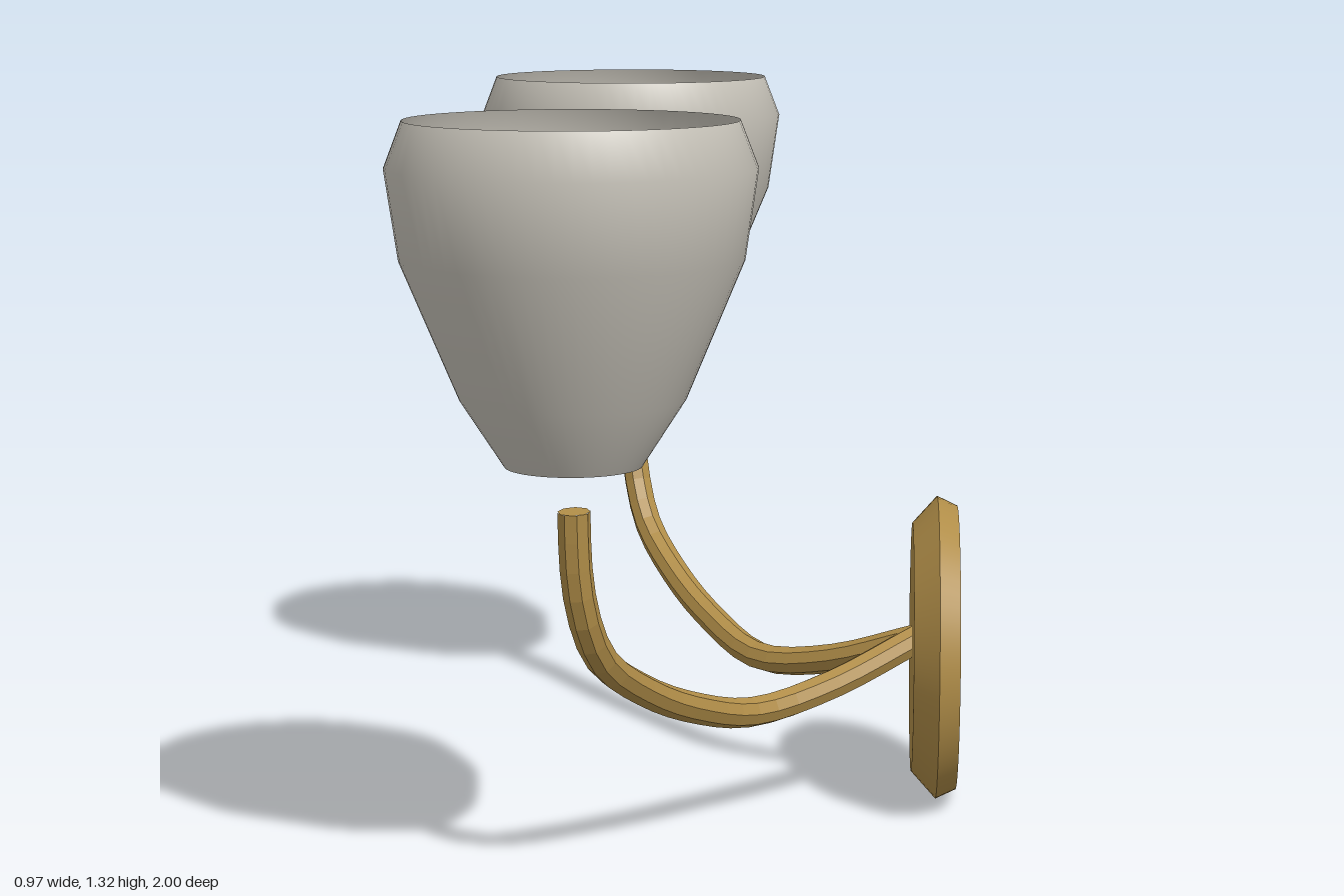
import * as THREE from 'three';

const V = (x, y, z) => new THREE.Vector3(x, y, z);

export function createModel() {
  const group = new THREE.Group();
  const brass = new THREE.MeshStandardMaterial({ color: 0xb08d48, flatShading: true });
  brass.name = 'brass';
  const brassSmooth = new THREE.MeshStandardMaterial({ color: 0xb08d48 });
  brassSmooth.name = 'smooth brass';
  const glass = new THREE.MeshStandardMaterial({ color: 0xc8c4ba, side: THREE.DoubleSide });
  glass.name = 'frosted glass';

  const add = (parent, name, geometry, material) => {
    const mesh = new THREE.Mesh(geometry, material);
    mesh.name = name;
    parent.add(mesh);
    return mesh;
  };

  // Round wall plate: two bevelled discs along x
  const plate = new THREE.Group();
  plate.name = 'wallPlate';
  group.add(plate);
  const disc = (name, x0, x1, r0, r1) => {
    const geometry = new THREE.CylinderGeometry(r1, r0, x1 - x0, 64).rotateZ(-Math.PI / 2);
    add(plate, name, geometry, brassSmooth).position.set((x0 + x1) / 2, 0.29, 0);
  };
  disc('plateFront', 0.4, 0.446, 0.235, 0.286);
  disc('plateRim', 0.446, 0.484, 0.286, 0.268);

  // Open shade profile: radius, height
  const profile = [[0.115, 0.755], [0.188, 0.868], [0.285, 1.1], [0.307, 1.25], [0.277, 1.328]]
    .map(([r, y]) => new THREE.Vector2(r, y));
  const radius = 0.028;

  for (const side of [1, -1]) {
    const label = side > 0 ? 'front' : 'back';

    // Bent arm from the plate up to the shade
    const path = new THREE.CatmullRomCurve3([
      [0.41, 0.305, 0], [0.25, 0.24, 0.105], [0.11, 0.215, 0.215], [0, 0.262, 0.37],
      [-0.08, 0.327, 0.5], [-0.14, 0.405, 0.61], [-0.165, 0.49, 0.662],
      [-0.176, 0.58, 0.682], [-0.178, 0.677, 0.69],
    ].map(([x, y, z]) => V(x, y, z * side)));
    add(group, label + 'Arm', new THREE.TubeGeometry(path, 24, radius, 8), brass);

    // Closed top end of the arm
    const cap = add(group, label + 'ArmCap', new THREE.CircleGeometry(radius, 8), brass);
    cap.position.copy(path.getPoint(1));
    cap.quaternion.setFromUnitVectors(V(0, 0, 1), path.getTangent(1));

    // Glass shade floating above the arm
    const shade = add(group, label + 'Shade', new THREE.LatheGeometry(profile, 64), glass);
    shade.position.set(-0.178, 0, 0.692 * side);
  }
  return group;
}
